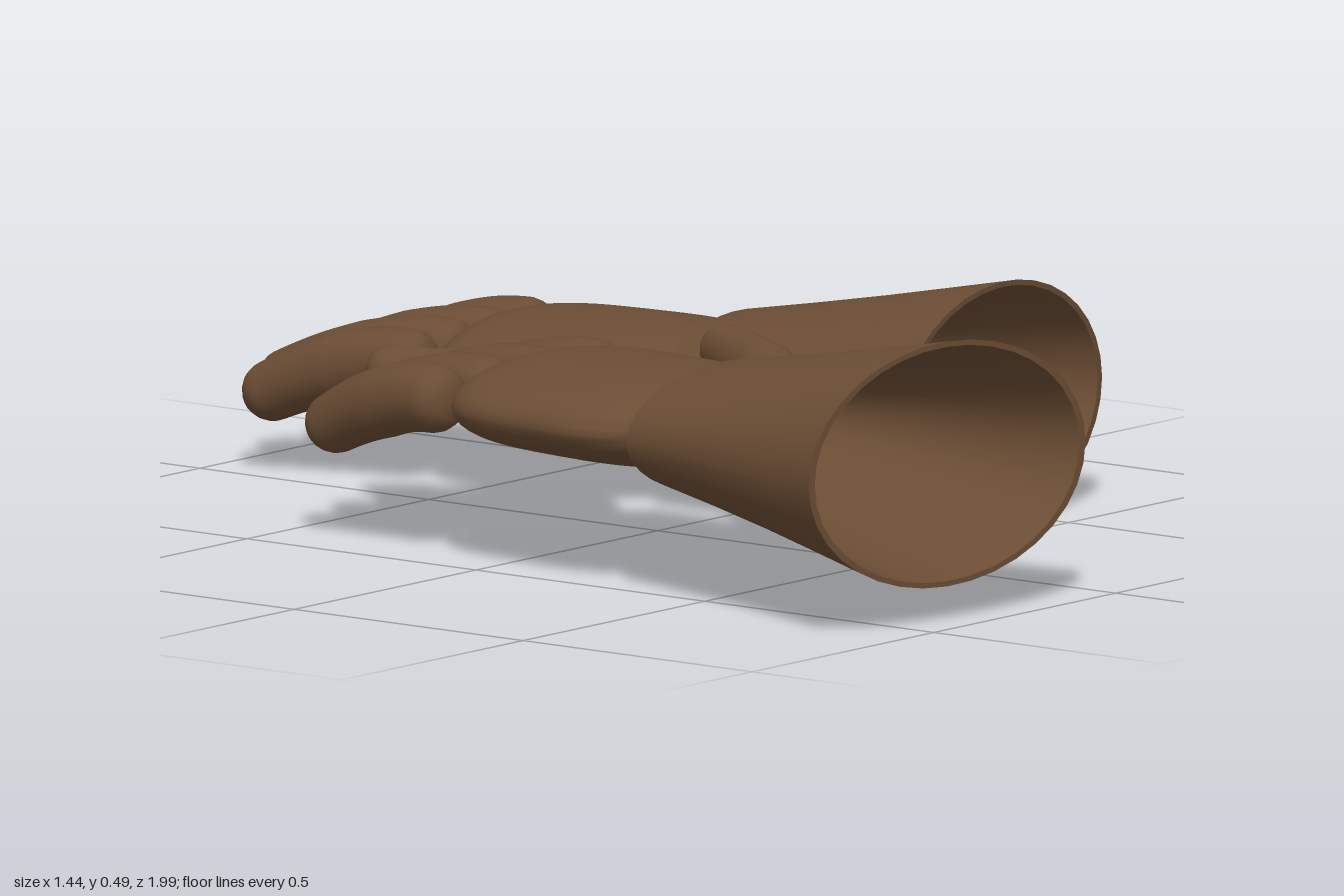
import * as THREE from 'three';
import { mergeVertices, toCreasedNormals } from 'three/addons/utils/BufferGeometryUtils.js';

const leather = new THREE.MeshStandardMaterial({ color: 0x6b4d34 });
leather.name = 'brown leather';

// Weld seams and recompute smooth normals
function smooth(geo) {
  geo.deleteAttribute('normal');
  geo.deleteAttribute('uv');
  const welded = mergeVertices(geo, 1e-5);
  welded.computeVertexNormals();
  return welded;
}

function part(name, geo) {
  const mesh = new THREE.Mesh(geo, leather);
  mesh.name = name;
  return mesh;
}

// Tapered tube with rounded ends, following a curve
function limb(points, r0, rMid, r1) {
  const curve = new THREE.CatmullRomCurve3(points.map((p) => new THREE.Vector3(...p)));
  const length = curve.getLength();
  const rings = 44, sides = 18;
  const geo = new THREE.TubeGeometry(curve, rings, 1, sides, false);
  const pos = geo.attributes.position;
  const v = new THREE.Vector3();
  const cap = (d, r) => (d >= r ? 1 : Math.sqrt(Math.max(0, 1 - (1 - d / r) ** 2)));
  for (let i = 0; i <= rings; i++) {
    const t = i / rings;
    const centre = curve.getPointAt(t);
    const base = t < 0.5
      ? THREE.MathUtils.lerp(r0, rMid, t * 2)
      : THREE.MathUtils.lerp(rMid, r1, t * 2 - 1);
    const r = base * cap(t * length, r0 * 0.8) * cap((1 - t) * length, r1);
    for (let j = 0; j <= sides; j++) {
      const k = i * (sides + 1) + j;
      v.fromBufferAttribute(pos, k).sub(centre).multiplyScalar(r).add(centre);
      pos.setXYZ(k, v.x, v.y, v.z);
    }
  }
  return smooth(geo);
}

// Flared oval gauntlet with a thin wall, open at both ends
function cuffGeometry() {
  const wall = 0.014, length = 0.54;
  const outer = [[0.243, 0], [0.259, 0.14], [0.279, 0.28], [0.302, 0.41], [0.327, length]];
  const inner = outer.map(([r, z]) => [r - wall, z]).reverse();
  const profile = [...outer, ...inner, outer[0]].map(([r, z]) => new THREE.Vector2(r, z));
  const geo = new THREE.LatheGeometry(profile, 36);
  geo.rotateX(Math.PI / 2);
  const pos = geo.attributes.position;
  for (let i = 0; i < pos.count; i++) {
    const t = pos.getZ(i) / length;
    pos.setY(i, pos.getY(i) * (0.46 + 0.27 * t - 0.08 * t * t));
  }
  geo.deleteAttribute('normal');
  geo.deleteAttribute('uv');
  return toCreasedNormals(geo, 0.7);
}

// Padded hand: a boxy, flattened ellipsoid, gathered at the wrist
function palmGeometry() {
  const geo = new THREE.SphereGeometry(1, 48, 36);
  geo.rotateX(Math.PI / 2);
  const pos = geo.attributes.position;
  for (let i = 0; i < pos.count; i++) {
    const x = pos.getX(i), y = pos.getY(i), z = pos.getZ(i);
    const s = Math.hypot(x, y);
    const a = Math.atan2(y, x);
    const gather = 1 + 0.02 * Math.cos(16 * a) * Math.max(0, z) * s;
    const w = Math.pow(s, 0.52) * gather;
    const along = Math.sign(z) * Math.pow(Math.abs(z), 0.55);
    pos.setXYZ(i, 0.262 * Math.cos(a) * w, 0.085 * Math.sin(a) * w, -0.252 + 0.25 * along);
  }
  return smooth(geo);
}

// One glove; the wrist is its origin, fingers run to -z, side flips the thumb
function glove(name, side) {
  const group = new THREE.Group();
  group.name = name;
  group.add(part('cuff', cuffGeometry()), part('palm', palmGeometry()));

  // Fingers, from the thumb side outward: [base x, tip x, tip z]
  const fingers = [
    ['indexFinger', -0.19, -0.18, -0.864],
    ['middleFinger', -0.064, -0.061, -0.91],
    ['ringFinger', 0.063, 0.057, -0.892],
    ['littleFinger', 0.187, 0.179, -0.832],
  ];
  for (const [label, x0, x1, tip] of fingers) {
    const at = (t, y) => [side * THREE.MathUtils.lerp(x0, x1, t), y, THREE.MathUtils.lerp(-0.485, tip, t)];
    const path = [at(0, 0.002), at(0.3, -0.004), at(0.62, -0.035), at(0.86, -0.072), at(1, -0.1)];
    group.add(part(label, limb(path, 0.058, 0.062, 0.05)));
  }

  const thumb = [
    [side * -0.245, 0, -0.07],
    [side * -0.285, 0.005, -0.16],
    [side * -0.352, 0.015, -0.29],
    [side * -0.402, 0.025, -0.42],
    [side * -0.418, 0.028, -0.48],
  ];
  group.add(part('thumb', limb(thumb, 0.052, 0.057, 0.042)));
  return group;
}

export function createModel() {
  const model = new THREE.Group();
  model.name = 'pairOfGauntlets';

  const near = glove('leftGlove', 1);
  near.position.set(0.333, 0.215, -0.1);
  near.rotation.y = 0.106;

  const far = glove('rightGlove', -1);
  far.position.set(-0.322, 0.275, 0.412);
  far.rotation.y = -0.138;

  model.add(near, far);
  return model;
}
